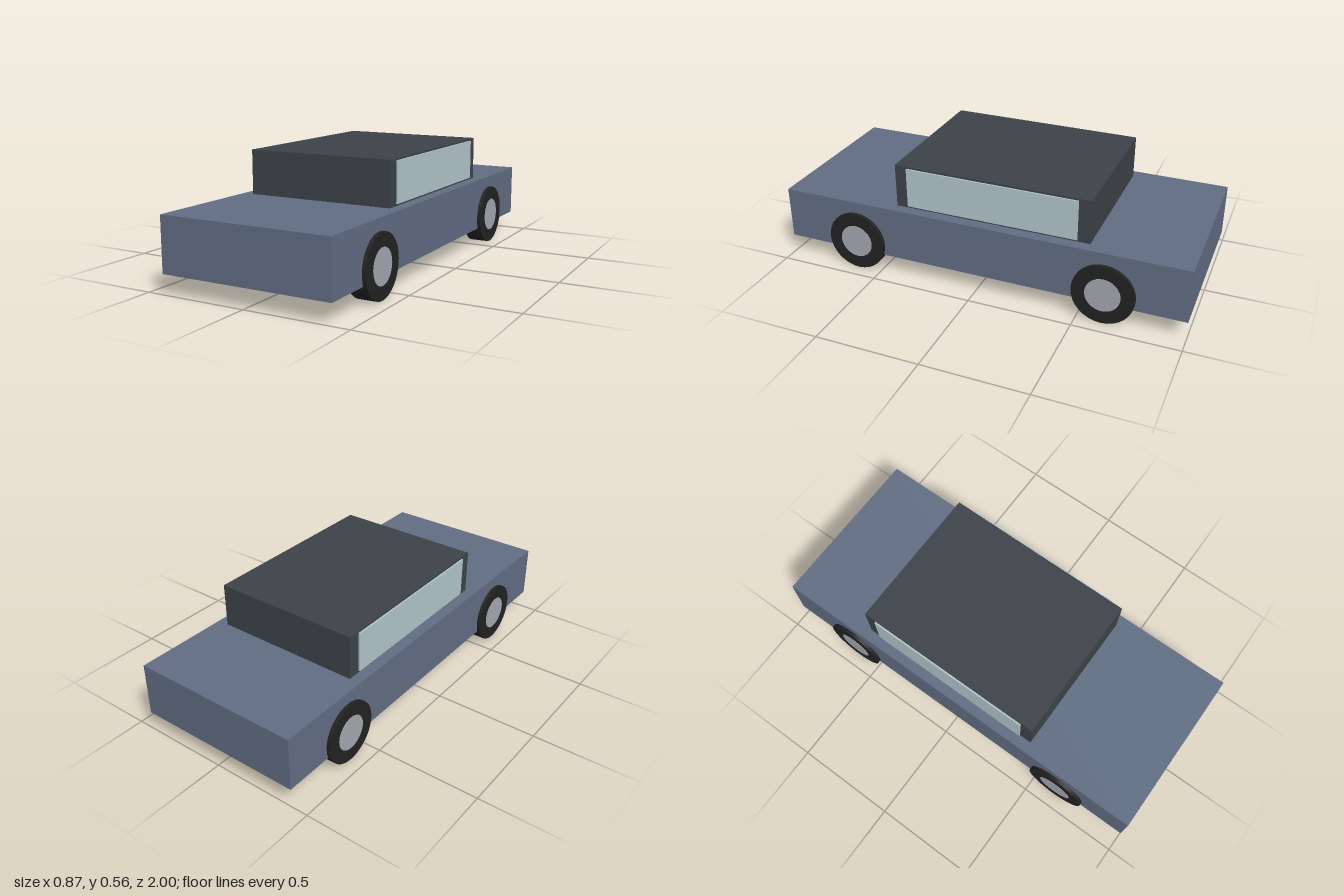
import * as THREE from 'three';

const paint = (name, color) => {
  const m = new THREE.MeshStandardMaterial({ color });
  m.name = name;
  return m;
};

export function createModel() {
  const bodyPaint = paint('slate blue paint', 0x606c82);
  const roofPaint = paint('charcoal roof', 0x3c4248);
  const glass = paint('pale glass', 0xb0c4ca);
  const rubber = paint('black rubber', 0x222222);
  const metal = paint('grey metal', 0xa2a6ae);

  const car = new THREE.Group();
  car.name = 'car';

  const add = (parent, name, geometry, material, x = 0, y = 0, z = 0) => {
    const mesh = new THREE.Mesh(geometry, material);
    mesh.name = name;
    mesh.position.set(x, y, z);
    parent.add(mesh);
    return mesh;
  };

  // Slab body and cabin
  add(car, 'body', new THREE.BoxGeometry(0.836, 0.258, 2), bodyPaint, 0, 0.221, 0);
  add(car, 'cabin', new THREE.BoxGeometry(0.728, 0.212, 0.955), roofPaint, 0, 0.456, -0.057);

  // Side windows, one thin plate per side
  const windowGeometry = new THREE.BoxGeometry(0.009, 0.193, 0.835);
  for (const side of [-1, 1]) {
    add(car, side > 0 ? 'leftWindow' : 'rightWindow', windowGeometry, glass, side * 0.3675, 0.4565, -0.057);
  }

  // Wheels with their axles along x and a hub cap on the outer face
  const tyreGeometry = new THREE.CylinderGeometry(0.147, 0.147, 0.09, 32).rotateZ(Math.PI / 2);
  const hubGeometry = new THREE.CylinderGeometry(0.083, 0.083, 0.006, 32).rotateZ(Math.PI / 2);
  for (const side of [-1, 1]) {
    for (const end of [-1, 1]) {
      const wheel = new THREE.Group();
      wheel.name = (end > 0 ? 'front' : 'rear') + (side > 0 ? 'Left' : 'Right') + 'Wheel';
      wheel.position.set(side * 0.39, 0.147, end * 0.62);
      add(wheel, 'tyre', tyreGeometry, rubber);
      add(wheel, 'hubCap', hubGeometry, metal, side * 0.0435);
      car.add(wheel);
    }
  }
  return car;
}
